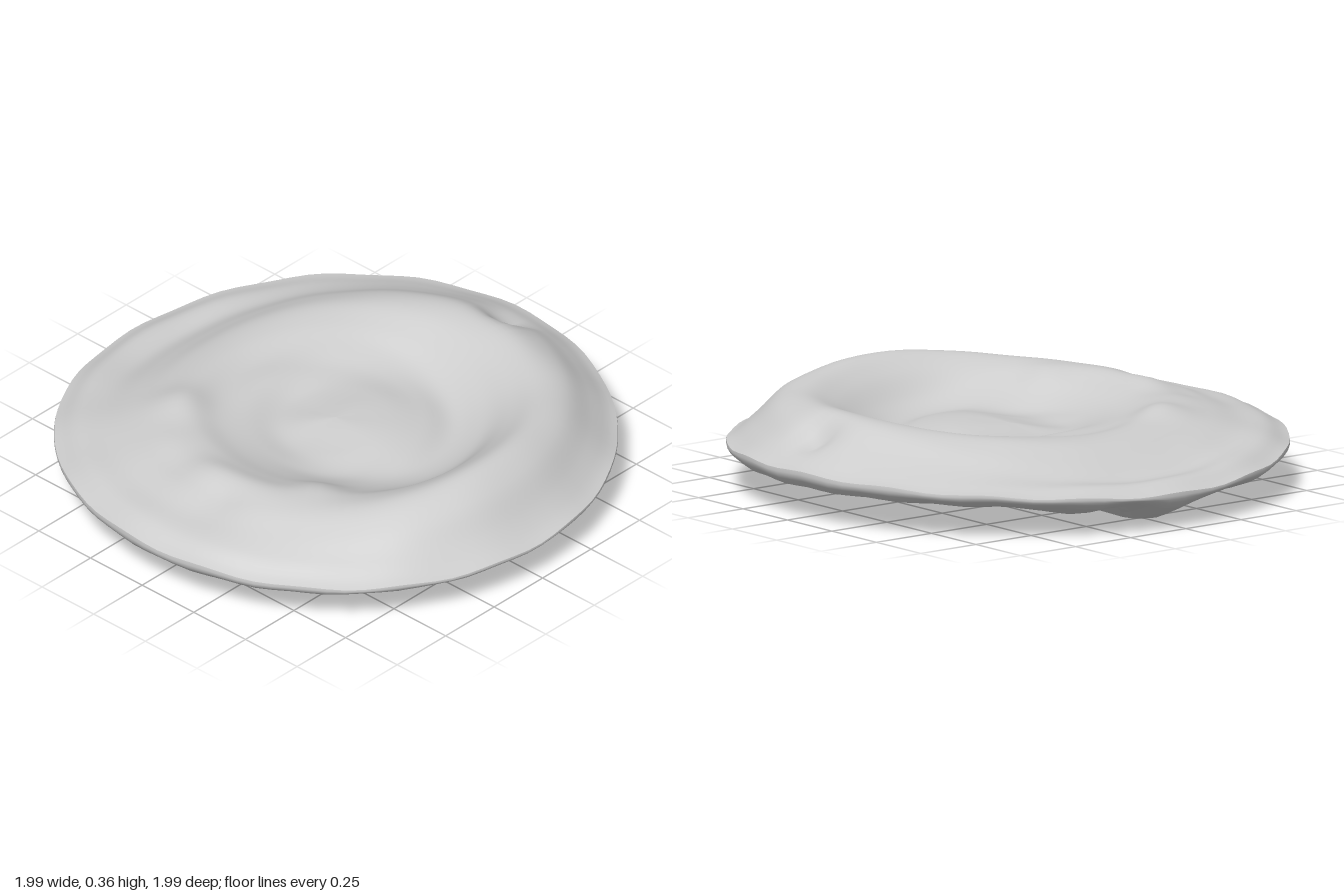
import * as THREE from 'three';

// Heights of the upper surface at these radii, for eight directions
// going from +z through +x, -z and -x.
const RADII = [0, 0.2, 0.32, 0.42, 0.52, 0.62, 0.72, 0.82, 0.92, 1];
const PROFILES = [
  [0.22, 0.22, 0.21, 0.19, 0.22, 0.31, 0.36, 0.31, 0.2, 0.15],
  [0.22, 0.22, 0.21, 0.19, 0.23, 0.29, 0.33, 0.31, 0.22, 0.16],
  [0.22, 0.22, 0.21, 0.22, 0.27, 0.32, 0.33, 0.28, 0.22, 0.18],
  [0.22, 0.21, 0.22, 0.25, 0.28, 0.29, 0.26, 0.21, 0.18, 0.16],
  [0.22, 0.2, 0.24, 0.245, 0.265, 0.25, 0.2, 0.155, 0.165, 0.13],
  [0.22, 0.2, 0.23, 0.25, 0.28, 0.27, 0.25, 0.22, 0.2, 0.16],
  [0.22, 0.19, 0.21, 0.24, 0.28, 0.31, 0.28, 0.24, 0.22, 0.18],
  [0.22, 0.2, 0.19, 0.22, 0.26, 0.3, 0.31, 0.27, 0.21, 0.16],
];
// Local lumps and hollows: x, z, height, spread
const LUMPS = [
  [0.82, 0.06, -0.05, 0.07],
  [-0.43, 0.32, 0.025, 0.09],
  [-0.38, -0.42, 0.025, 0.1],
  [-0.62, -0.15, -0.02, 0.1],
  [-0.72, 0.1, -0.02, 0.09],
  [0.1, 0.12, 0.01, 0.15],
];
const SEGMENTS = 96;

const cubic = (a, b, c, d, t) =>
  b + 0.5 * t * (c - a + t * (2 * a - 5 * b + 4 * c - d + t * (3 * (b - c) + d - a)));

// Smooth interpolation along one radial profile
function alongRadius(profile, r) {
  const last = RADII.length - 1;
  let i = 0;
  while (i < last - 1 && r > RADII[i + 1]) i++;
  const t = (r - RADII[i]) / (RADII[i + 1] - RADII[i]);
  return cubic(profile[Math.max(i - 1, 0)], profile[i], profile[i + 1], profile[Math.min(i + 2, last)], t);
}

function topHeight(r, angle) {
  const f = (angle / (Math.PI * 2)) * 8;
  const i = Math.floor(f);
  const at = (k) => alongRadius(PROFILES[(i + k + 8) % 8], r);
  let y = cubic(at(-1), at(0), at(1), at(2), f - i);
  const x = r * Math.sin(angle), z = r * Math.cos(angle);
  for (const [lx, lz, h, s] of LUMPS) {
    y += h * Math.exp(-((x - lx) ** 2 + (z - lz) ** 2) / (s * s));
  }
  return y + 0.004 * Math.sin(angle * 17 + r * 5) * r ** 6;
}

// Shallow cone below, sagging in folds towards the back
function underHeight(r, angle) {
  const base = 0.01 + 0.045 * r + 0.075 * r ** 3 + 0.003 * r * Math.sin(angle * 24);
  const back = Math.exp(-(((angle - Math.PI) / 0.45) ** 2));
  const folds = 0.65 + 0.35 * Math.cos((angle - Math.PI) * 14);
  const sag = 0.075 * back * folds * Math.sin(Math.PI * Math.min(1, r * r * 0.9));
  return Math.max(0, base - 0.01 * r * back - sag);
}

// Polar grid of rings; each ring gives [radius, height] for an angle
function ringSurface(rings, ringPoint) {
  const positions = [], index = [];
  for (let i = 0; i < rings; i++) {
    for (let j = 0; j < SEGMENTS; j++) {
      const angle = (j / SEGMENTS) * Math.PI * 2;
      const [r, y] = ringPoint(i / (rings - 1), angle);
      positions.push(r * Math.sin(angle), y, r * Math.cos(angle));
      if (i === rings - 1) continue;
      const k = (j + 1) % SEGMENTS;
      const a = i * SEGMENTS + j, b = a + SEGMENTS;
      const c = (i + 1) * SEGMENTS + k, d = i * SEGMENTS + k;
      index.push(a, b, c, a, c, d);
    }
  }
  const geometry = new THREE.BufferGeometry();
  geometry.setAttribute('position', new THREE.Float32BufferAttribute(positions, 3));
  geometry.setIndex(index);
  geometry.computeVertexNormals();
  return geometry;
}

export function createModel() {
  const group = new THREE.Group();
  const grey = new THREE.MeshStandardMaterial({ color: 0xcccccc });
  grey.name = 'pale grey';
  const add = (name, geometry) => {
    const mesh = new THREE.Mesh(geometry, grey);
    mesh.name = name;
    group.add(mesh);
  };

  // Upper surface with the raised ridge and central hollow
  add('upperSurface', ringSurface(56, (t, a) => {
    const r = Math.max(t, 0.001);
    return [r * 0.995, topHeight(r, a)];
  }));

  // Rounded edge
  add('rim', ringSurface(6, (t, a) => [
    0.995 - 0.035 * t * t + 0.005 * Math.sin(Math.PI * t),
    THREE.MathUtils.lerp(topHeight(1, a), underHeight(0.96, a), t),
  ]));

  // Faceted underside
  const under = ringSurface(16, (t, a) => {
    const r = Math.max(0.96 * (1 - t), 0.001);
    return [r, underHeight(r, a)];
  }).toNonIndexed();
  under.computeVertexNormals();
  add('underside', under);

  return group;
}
